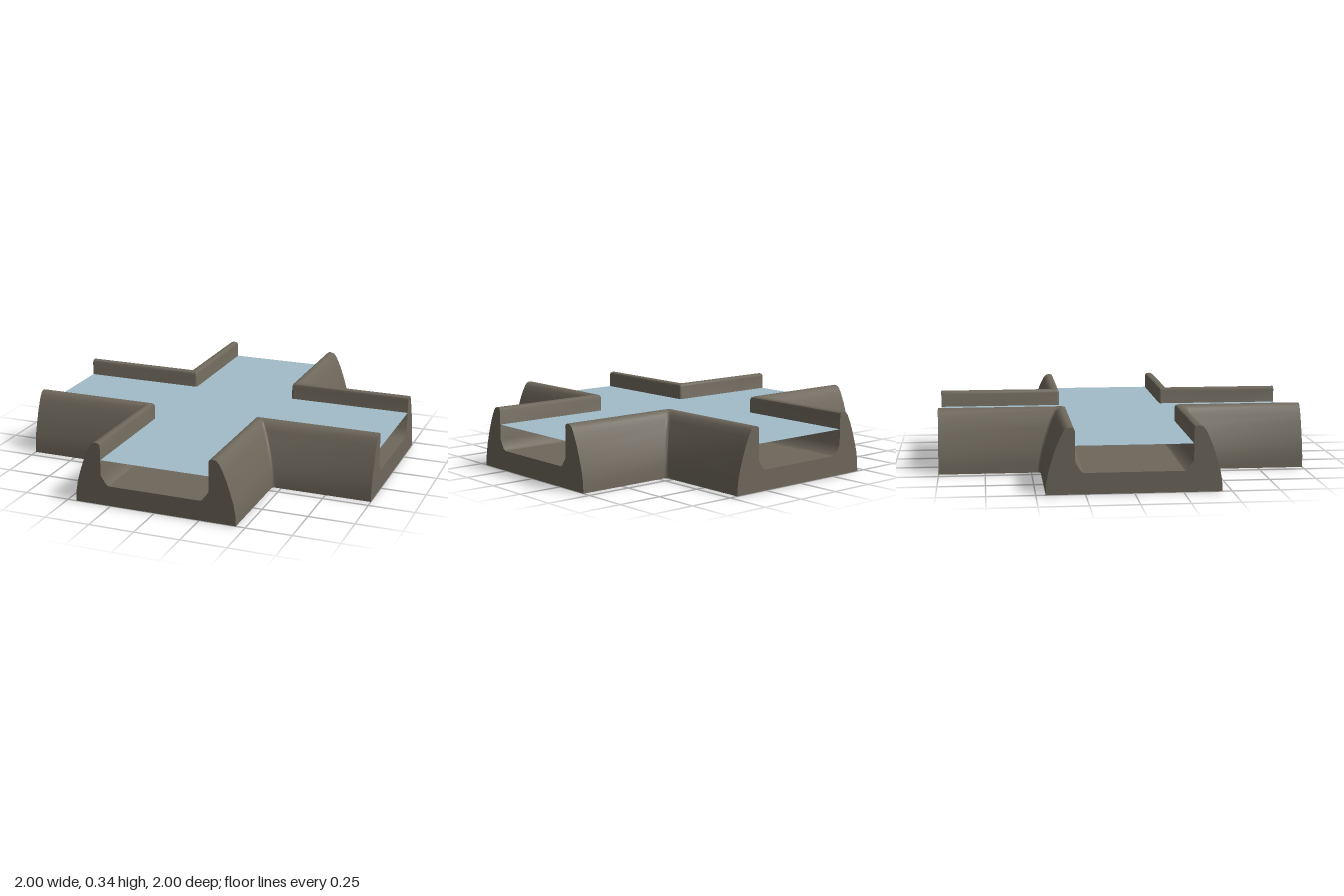
import * as THREE from 'three';
import { toCreasedNormals } from 'three/addons/utils/BufferGeometryUtils.js';

// Half of the channel section: distance from the centre line, height (outside to inside)
const PROFILE = [
  [0.45, 0], [0.447, 0.06], [0.436, 0.12], [0.418, 0.18], [0.398, 0.24], [0.377, 0.29],
  [0.36, 0.323], [0.348, 0.336], [0.334, 0.342], [0.318, 0.342], [0.307, 0.337], [0.302, 0.325],
  [0.302, 0.165], [0.272, 0.118], [0.257, 0.11],
];
const WATER_LEVEL = 0.25;
const STEPS = 6;

// L-shaped line around one corner at distance d, from the +x arm to the +z arm
function cornerPath(d) {
  const r = THREE.MathUtils.mapLinear(d, 0.257, 0.45, 0.008, 0.022);
  const pts = [new THREE.Vector2(1, d)];
  const bend = new THREE.QuadraticBezierCurve(
    new THREE.Vector2(d + r, d), new THREE.Vector2(d, d), new THREE.Vector2(d, d + r));
  pts.push(...bend.getPoints(STEPS), new THREE.Vector2(d, 1));
  return pts;
}

// Flat cross made of four corner lines
function crossGeometry(d) {
  const pts = [];
  for (let k = 0; k < 4; k++) {
    for (const p of cornerPath(d)) pts.push(p.rotateAround(new THREE.Vector2(), k * Math.PI / 2));
  }
  return new THREE.ShapeGeometry(new THREE.Shape(pts));
}

// Wall section swept around one corner
function wallGeometry() {
  const positions = [], index = [];
  const rows = STEPS + 3;
  PROFILE.forEach(([d, y], j) => {
    cornerPath(d).forEach((p, i) => {
      positions.push(p.x, y, p.y);
      if (i < rows - 1 && j < PROFILE.length - 1) {
        const a = j * rows + i, b = a + rows;
        index.push(a, b, a + 1, b, b + 1, a + 1);
      }
    });
  });
  const geo = new THREE.BufferGeometry();
  geo.setAttribute('position', new THREE.Float32BufferAttribute(positions, 3));
  geo.setIndex(index);
  return toCreasedNormals(geo, 0.7);
}

// U-shaped end face of an arm
function endGeometry() {
  const right = PROFILE.map(([d, y]) => new THREE.Vector2(d, y));
  const left = PROFILE.map(([d, y]) => new THREE.Vector2(-d, y)).reverse();
  return new THREE.ShapeGeometry(new THREE.Shape([...right, ...left])).translate(0, 0, 1);
}

export function createModel() {
  const stone = new THREE.MeshStandardMaterial({ color: 0x6e675b });
  stone.name = 'stone';
  const water = new THREE.MeshStandardMaterial({ color: 0xa2bbc9, side: THREE.DoubleSide });
  water.name = 'water';

  const model = new THREE.Group();
  model.name = 'canalCrossing';
  const add = (name, geometry, material, turn = 0) => {
    const mesh = new THREE.Mesh(geometry, material);
    mesh.name = name;
    mesh.rotation.y = turn;
    model.add(mesh);
  };

  // Corner walls and arm ends
  const wall = wallGeometry(), end = endGeometry();
  for (let k = 0; k < 4; k++) {
    add('cornerWall' + (k + 1), wall, stone, k * Math.PI / 2);
    add('armEnd' + (k + 1), end, stone, k * Math.PI / 2);
  }

  // Underside, channel floor and water surface
  add('underside', crossGeometry(0.45).rotateX(Math.PI / 2), stone);
  add('channelFloor', crossGeometry(0.257).rotateX(-Math.PI / 2).translate(0, 0.11, 0), stone);
  add('waterSurface', crossGeometry(0.302).rotateX(-Math.PI / 2).translate(0, WATER_LEVEL, 0), water);
  return model;
}
